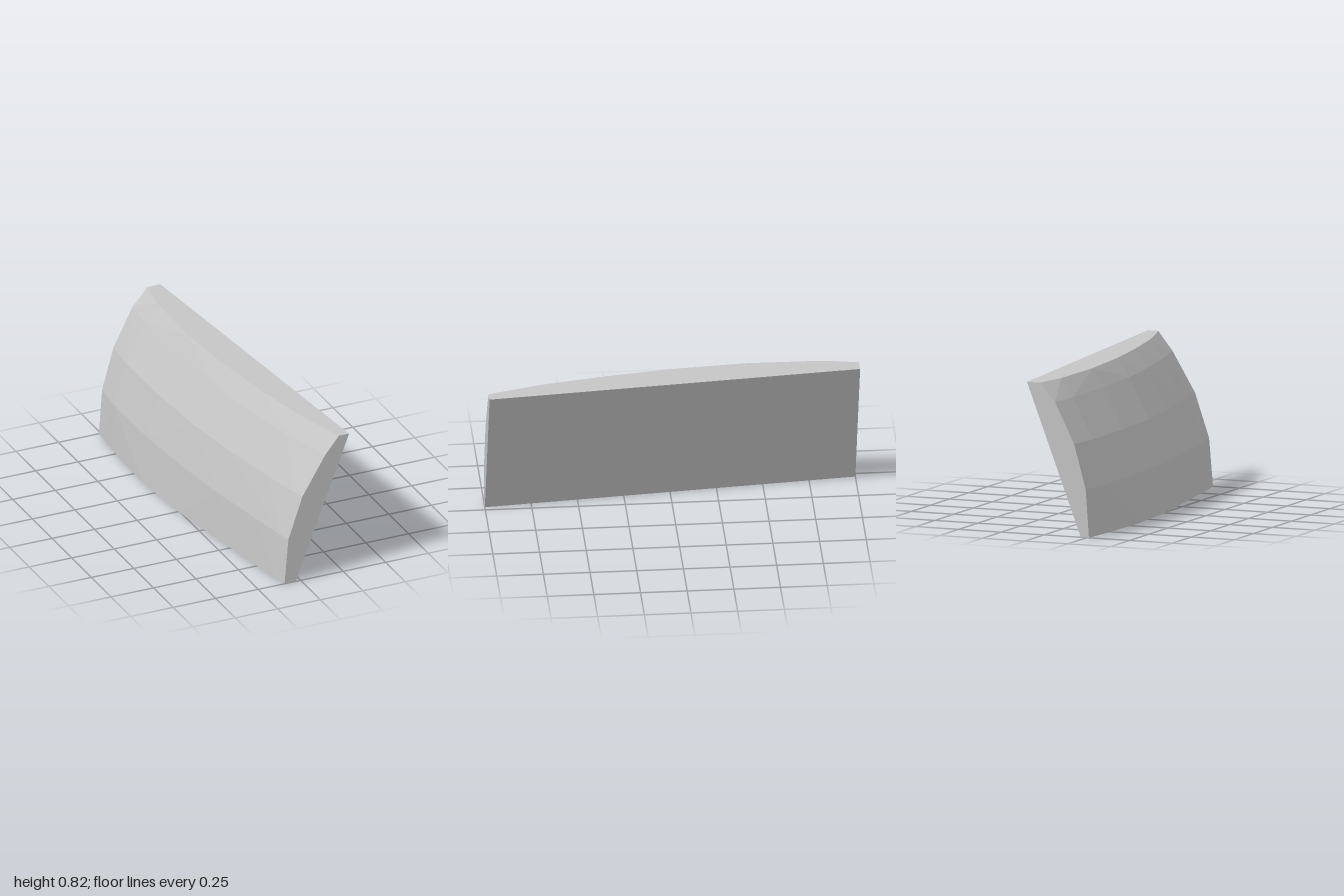
import * as THREE from 'three';
import { ConvexGeometry } from 'three/addons/geometries/ConvexGeometry.js';

// Heights across the slab and cross-sections along it: [z, thickness at each height]
const HEIGHTS = [0, 0.26, 0.5, 0.72, 0.82];
const SECTIONS = [
  [-1.0, [0.047, 0.128, 0.153, 0.126, 0.077]],
  [-0.8, [0.080, 0.165, 0.190, 0.160, 0.128]],
  [-0.4, [0.128, 0.198, 0.222, 0.192, 0.170]],
  [0.0, [0.135, 0.205, 0.235, 0.205, 0.174]],
  [0.35, [0.115, 0.195, 0.220, 0.188, 0.155]],
  [0.7, [0.0925, 0.170, 0.190, 0.155, 0.120]],
  [0.93, [0.077, 0.151, 0.163, 0.116, 0.076]],
  [1.0, [0.065, 0.142, 0.152, 0.103, 0.060]],
];

// The slanted flat side
const flatX = (y, z) => -0.1225 + 0.384 * y + 0.0925 * z;

export function createModel() {
  const stone = new THREE.MeshStandardMaterial({ color: 0xc5c5c5 });
  stone.name = 'light grey';
  stone.flatShading = true;

  // Four corners of the flat side
  const points = [];
  for (const z of [-1, 1]) {
    for (const y of [0, 0.82]) points.push(new THREE.Vector3(flatX(y, z), y, z));
  }
  // Bulging faceted side
  for (const [z, thickness] of SECTIONS) {
    thickness.forEach((t, j) => {
      const y = HEIGHTS[j];
      points.push(new THREE.Vector3(flatX(y, z) - t, y, z));
    });
  }

  const slab = new THREE.Mesh(new ConvexGeometry(points), stone);
  slab.name = 'curvedSlab';

  const group = new THREE.Group();
  group.name = 'leaningSlab';
  group.add(slab);
  return group;
}
